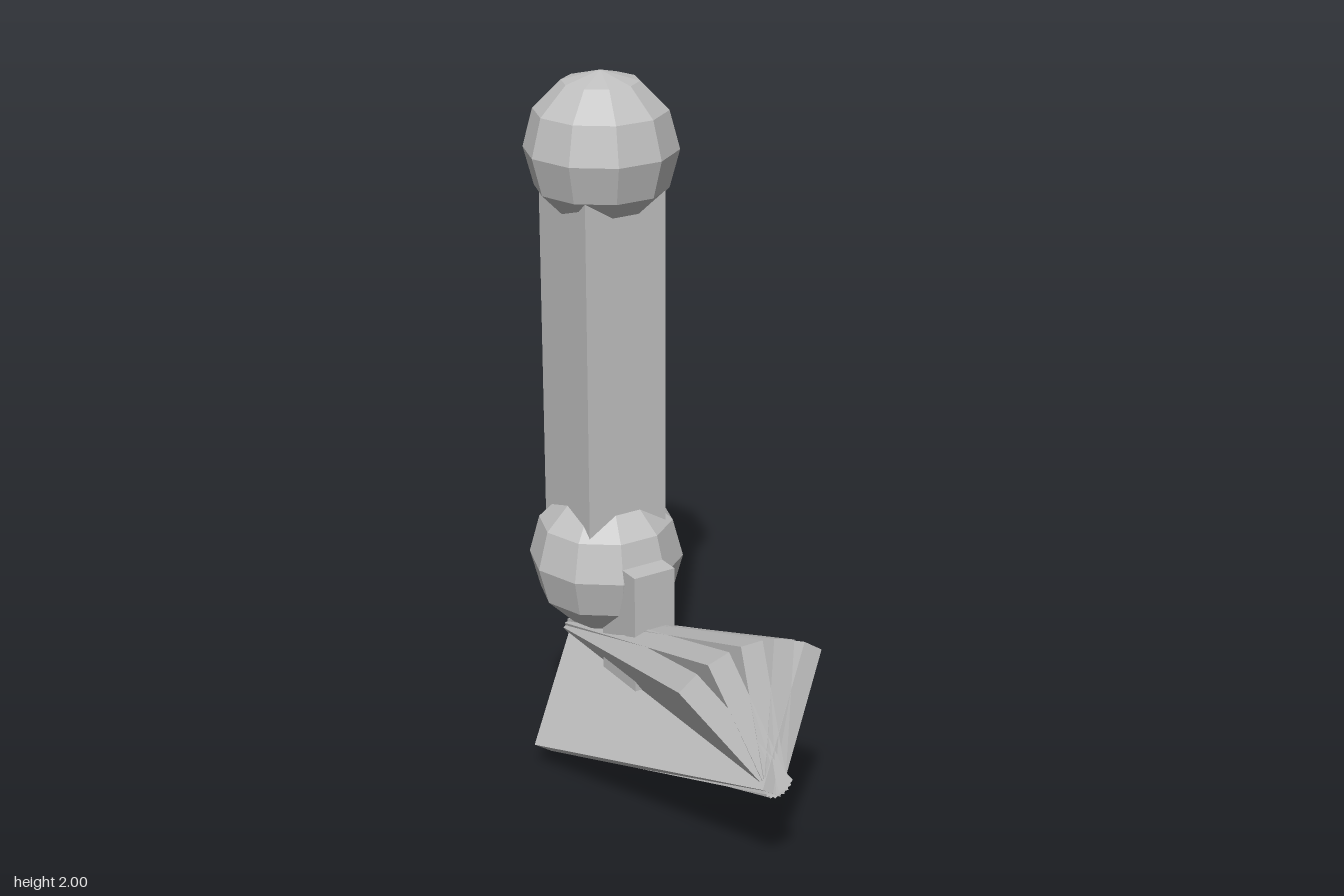
import * as THREE from 'three';

export function createModel() {
  const group = new THREE.Group();
  const grey = new THREE.MeshStandardMaterial({ color: 0xc0c0c0 });
  grey.name = 'light grey';

  function add(name, geometry, x, y, z) {
    const mesh = new THREE.Mesh(geometry, grey);
    mesh.name = name;
    mesh.position.set(x, y, z);
    group.add(mesh);
    return mesh;
  }
  // Faceted ball with ten sides
  function ball(radius) {
    const geometry = new THREE.SphereGeometry(radius, 10, 6).toNonIndexed();
    geometry.computeVertexNormals();
    return geometry;
  }

  // Upright leg with a ball joint at each end
  add('upperJoint', ball(0.204), 0, 1.796, -0.322);
  add('shaft', new THREE.BoxGeometry(0.24, 1.1, 0.24), 0, 1.22, -0.322);
  add('lowerJoint', ball(0.213), 0, 0.643, -0.32);

  // Block that links the joint to the foot
  add('ankleBlock', new THREE.BoxGeometry(0.126, 0.34, 0.17), 0, 0.513, -0.15);

  // Foot: five tilted slabs fanned around the front-to-back axis
  const slab = new THREE.BoxGeometry(0.066, 0.394, 0.94);
  for (let i = -2; i <= 2; i++) {
    const mesh = add('footSlab' + (i + 3), slab, 0, 0.34, 0.02);
    mesh.rotation.set(-0.33, 0, i * 0.3, 'ZXY');
  }
  return group;
}
